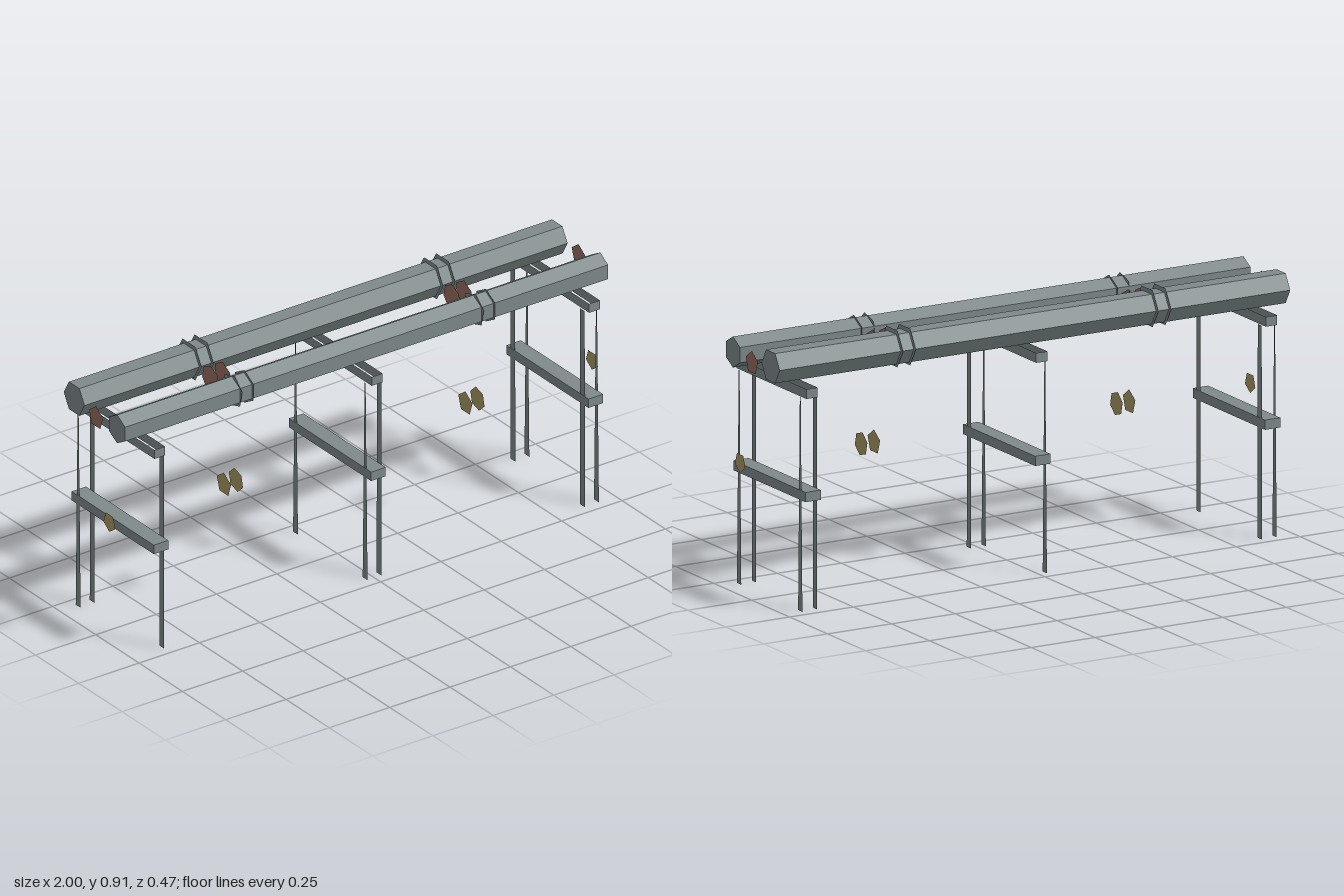
import * as THREE from 'three';

export function createModel() {
  const model = new THREE.Group();
  model.name = 'pipeRack';

  const mat = (name, color) => {
    const m = new THREE.MeshStandardMaterial({ color, side: THREE.DoubleSide, flatShading: true });
    m.name = name;
    return m;
  };
  const steel = mat('steelGrey', 0x7f8a8b);
  const rust = mat('rustRed', 0x966d60);
  const brass = mat('dullYellow', 0xa69862);

  const add = (name, geometry, material, x, y, z, parent = model) => {
    const mesh = new THREE.Mesh(geometry, material);
    mesh.name = name;
    mesh.position.set(x, y, z);
    parent.add(mesh);
    return mesh;
  };

  // Flat polygon facing along x
  const disc = (radius, sides, turn) =>
    new THREE.CircleGeometry(radius, sides, turn).rotateY(Math.PI / 2);

  // Flat strip in the y-z plane, its top width may be narrower
  const strip = (bottomWidth, topWidth, height) => {
    const b = bottomWidth / 2, t = topWidth / 2;
    const s = new THREE.Shape([
      new THREE.Vector2(-b, 0), new THREE.Vector2(b, 0),
      new THREE.Vector2(t, height), new THREE.Vector2(-t, height),
    ]);
    return new THREE.ShapeGeometry(s).rotateY(Math.PI / 2);
  };

  // Six-sided pipe along x
  const pipe = (radius, turn) =>
    new THREE.CylinderGeometry(radius, radius, 2, 6, 1, false, turn).rotateZ(Math.PI / 2);

  // Two large pipes and their paired collars
  const up = Math.PI / 2;
  add('backPipe', pipe(0.06, 0), steel, 0, 0.845, -0.125);
  add('frontPipe', pipe(0.054, up), steel, 0, 0.837, 0.123);
  for (const x of [-0.5, 0.5]) {
    for (const side of [-1, 1]) {
      const dx = x + side * 0.025;
      add('backCollar', disc(0.074, 6, 0), steel, dx, 0.848, -0.125);
      add('frontCollar', disc(0.062, 6, side > 0 ? up : up + 0.22), steel, dx, 0.838, 0.125);
      add('redFlange', disc(0.05, side > 0 ? 6 : 7, up), rust, dx, 0.828, 0);
      add('yellowFlange', disc(0.043, side > 0 ? 6 : 5, side > 0 ? 0.3 : up), brass, dx, 0.461, 0.077);
    }
  }

  // End plates of the two thin lines
  for (const x of [-0.999, 0.999]) {
    add('redEndPlate', disc(0.042, 5, up), rust, x, 0.828, 0);
    add('yellowEndPlate', disc(0.036, 5, -up), brass, x, 0.461, 0.077);
  }

  // Support frames: taper = side of the narrowing strip, missing = strip left out
  const frames = [
    { x: -0.9, taper: -1, missing: { z: 1, side: -1 } },
    { x: 0, taper: -1, missing: { z: -1, side: 1 } },
    { x: 0.9, taper: 1, missing: null },
  ];
  for (const f of frames) {
    const frame = new THREE.Group();
    frame.name = 'supportFrame';
    frame.position.x = f.x;
    model.add(frame);

    add('lowerBeam', new THREE.BoxGeometry(0.06, 0.034, 0.475), steel, 0, 0.405, 0, frame);

    // Upper beam is an open box of side walls and ends
    for (const s of [-1, 1]) {
      add('upperBeamWall', new THREE.PlaneGeometry(0.46, 0.034).rotateY(Math.PI / 2),
        steel, s * 0.022, 0.762, 0, frame);
      add('upperBeamEnd', new THREE.PlaneGeometry(0.044, 0.034), steel, 0, 0.762, s * 0.23, frame);
    }

    // Legs as pairs of upright strips
    for (const z of [-1, 1]) {
      for (const s of [-1, 1]) {
        if (f.missing && f.missing.z === z && f.missing.side === s) continue;
        const top = s === f.taper ? 0.006 : 0.026;
        add('leg', strip(0.028, top, 0.746), steel, s * 0.029, 0, z * 0.201, frame);
      }
    }
  }

  return model;
}
